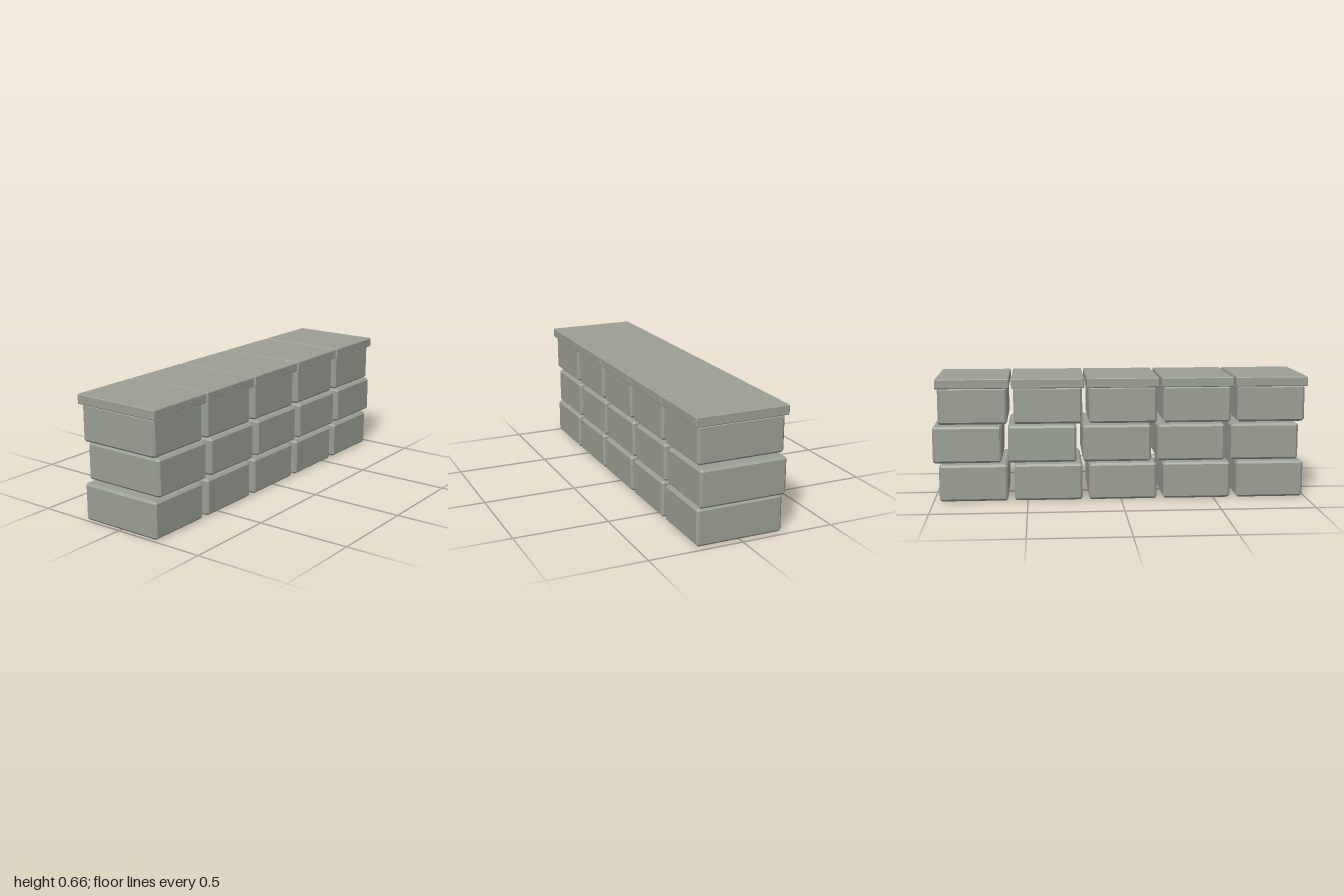
import * as THREE from 'three';
import { ConvexGeometry } from 'three/addons/geometries/ConvexGeometry.js';

// Box with every edge and corner cut flat by c
function chamferedBox(w, h, d, c) {
  const half = [w / 2, h / 2, d / 2];
  const points = [];
  for (const sx of [-1, 1]) for (const sy of [-1, 1]) for (const sz of [-1, 1]) {
    const sign = [sx, sy, sz];
    for (let full = 0; full < 3; full++) {
      points.push(new THREE.Vector3(...half.map((v, i) => sign[i] * (i === full ? v : v - c))));
    }
  }
  return new ConvexGeometry(points);
}

export function createModel() {
  const wall = new THREE.Group();
  wall.name = 'stoneWall';
  const stone = new THREE.MeshStandardMaterial({ color: 0x9a9f94, flatShading: true });

  const columns = 5, pitch = 0.3985, firstX = -0.807;
  const blockHeight = 0.196, coursePitch = 0.207;
  const block = chamferedBox(0.364, blockHeight, 0.466, 0.0115);
  const cap = chamferedBox(0.386, 0.051, 0.498, 0.004);

  // One row of equal stones
  function addRow(name, geometry, y, shift) {
    const row = new THREE.Group();
    row.name = name;
    for (let i = 0; i < columns; i++) {
      const mesh = new THREE.Mesh(geometry, stone);
      mesh.name = `${name}Stone${i + 1}`;
      mesh.position.set(firstX + i * pitch + shift, y, 0);
      row.add(mesh);
    }
    wall.add(row);
  }

  // Three courses, the middle one shifted sideways
  ['bottomCourse', 'middleCourse', 'topCourse'].forEach((name, i) => {
    addRow(name, block, blockHeight / 2 + i * coursePitch, i === 1 ? 0.031 : 0);
  });

  // Overhanging coping slabs
  addRow('coping', cap, 0.6315, 0);

  return wall;
}
